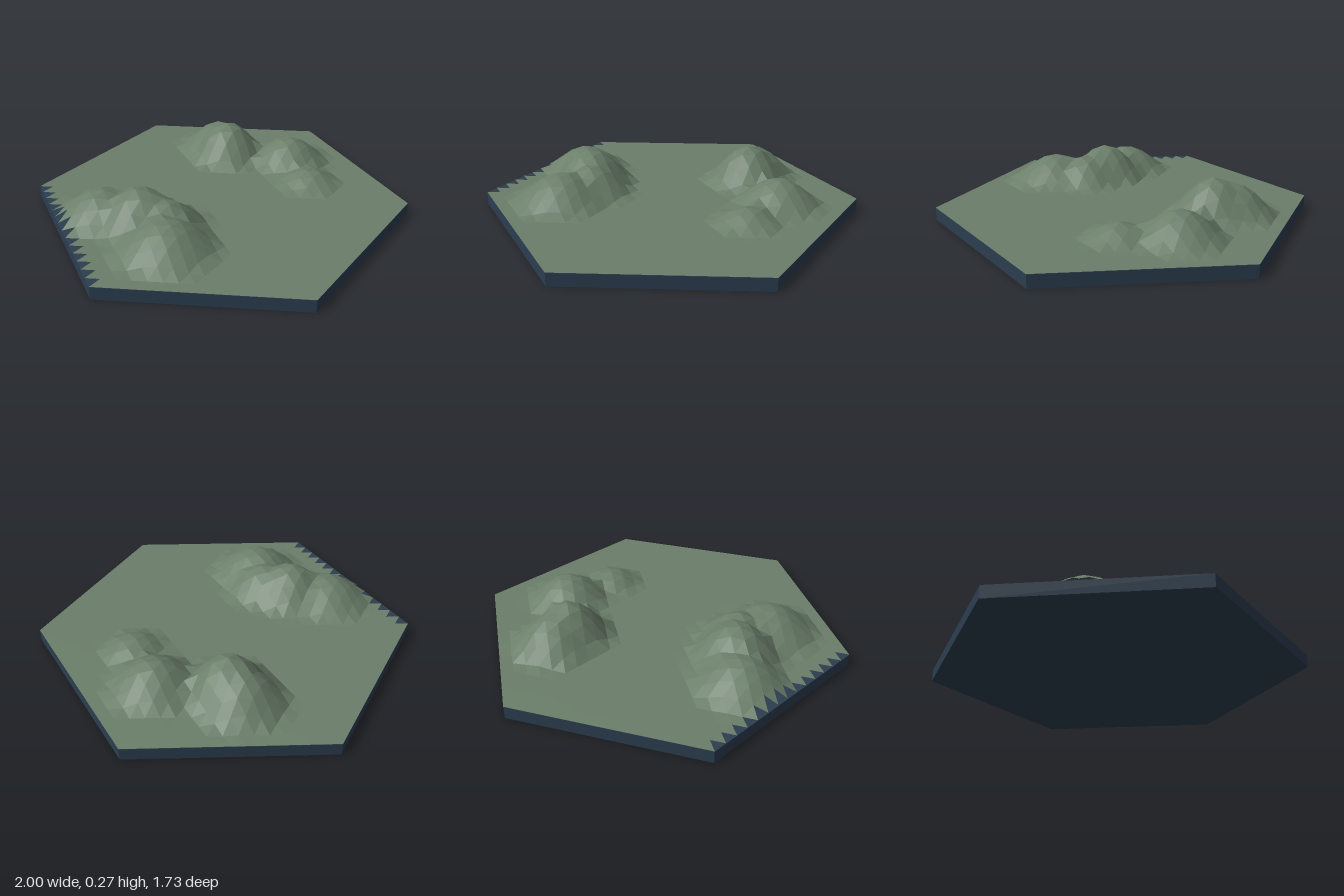
import * as THREE from 'three';

const CELLS = 14;                 // grid cells along each side of the hexagon
const STEP = 1 / CELLS;
const ROW = STEP * Math.sqrt(3) / 2;
const BASE_TOP = 0.067;
const GROUND = 0.069;

// Domes: x, z, height, radius; overlapping ones form ridges
const hills = [
  // left ridge and its front mound
  [-0.51, -0.38, 0.135, 0.25], [-0.45, -0.18, 0.187, 0.25], [-0.43, -0.03, 0.15, 0.23],
  [-0.57, 0.09, 0.145, 0.27],
  // right hill with two mounds in front of it
  [0.47, -0.34, 0.165, 0.24], [0.43, -0.25, 0.2, 0.24],
  [0.57, 0.09, 0.14, 0.24],
  [0.4, 0.32, 0.075, 0.18],
];

function heightAt(x, z) {
  let h = 0;
  for (const [cx, cz, top, radius] of hills) {
    const d2 = ((x - cx) ** 2 + (z - cz) ** 2) / radius ** 2;
    if (d2 < 1) h = Math.max(h, top * (1 - d2) ** 1.5);
  }
  return GROUND + h;
}

// Point i of row r in the triangular grid
function gridPoint(r, i) {
  const x = (i - CELLS + Math.abs(r) / 2) * STEP;
  const z = r * ROW;
  return [x, heightAt(x, z), z];
}

function terrainGeometry() {
  const points = [];
  for (let r = -CELLS; r < CELLS; r++) {
    const back = r < 0;                       // rows widen towards the middle
    const shortRow = back ? r : r + 1;
    const longRow = back ? r + 1 : r;
    const count = 2 * CELLS - Math.abs(shortRow);
    const add = (a, b, c) => points.push(...a, ...(back ? b : c), ...(back ? c : b));
    for (let i = 0; i <= count; i++) {
      // the back left border leaves a toothed strip of the base bare
      if (!(back && i === 0)) {
        add(gridPoint(shortRow, i), gridPoint(longRow, i), gridPoint(longRow, i + 1));
      }
      if (i < count) {
        add(gridPoint(shortRow, i), gridPoint(longRow, i + 1), gridPoint(shortRow, i + 1));
      }
    }
  }
  const geometry = new THREE.BufferGeometry();
  geometry.setAttribute('position', new THREE.Float32BufferAttribute(points, 3));
  geometry.computeVertexNormals();            // unshared corners give flat facets
  return geometry;
}

export function createModel() {
  const grass = new THREE.MeshStandardMaterial({ color: 0x6b7f6a });
  grass.name = 'mutedGreen';
  const slate = new THREE.MeshStandardMaterial({ color: 0x2c3e50 });
  slate.name = 'darkNavy';

  const model = new THREE.Group();
  model.name = 'hillTile';

  // Hexagonal slab with corners on the x axis
  const slab = new THREE.CylinderGeometry(1, 1, BASE_TOP, 6, 1, false, Math.PI / 2).toNonIndexed();
  slab.computeVertexNormals();
  const base = new THREE.Mesh(slab, slate);
  base.name = 'hexBase';
  base.position.y = BASE_TOP / 2;
  model.add(base);

  // Faceted ground with hills
  const terrain = new THREE.Mesh(terrainGeometry(), grass);
  terrain.name = 'hillyGround';
  model.add(terrain);

  return model;
}
